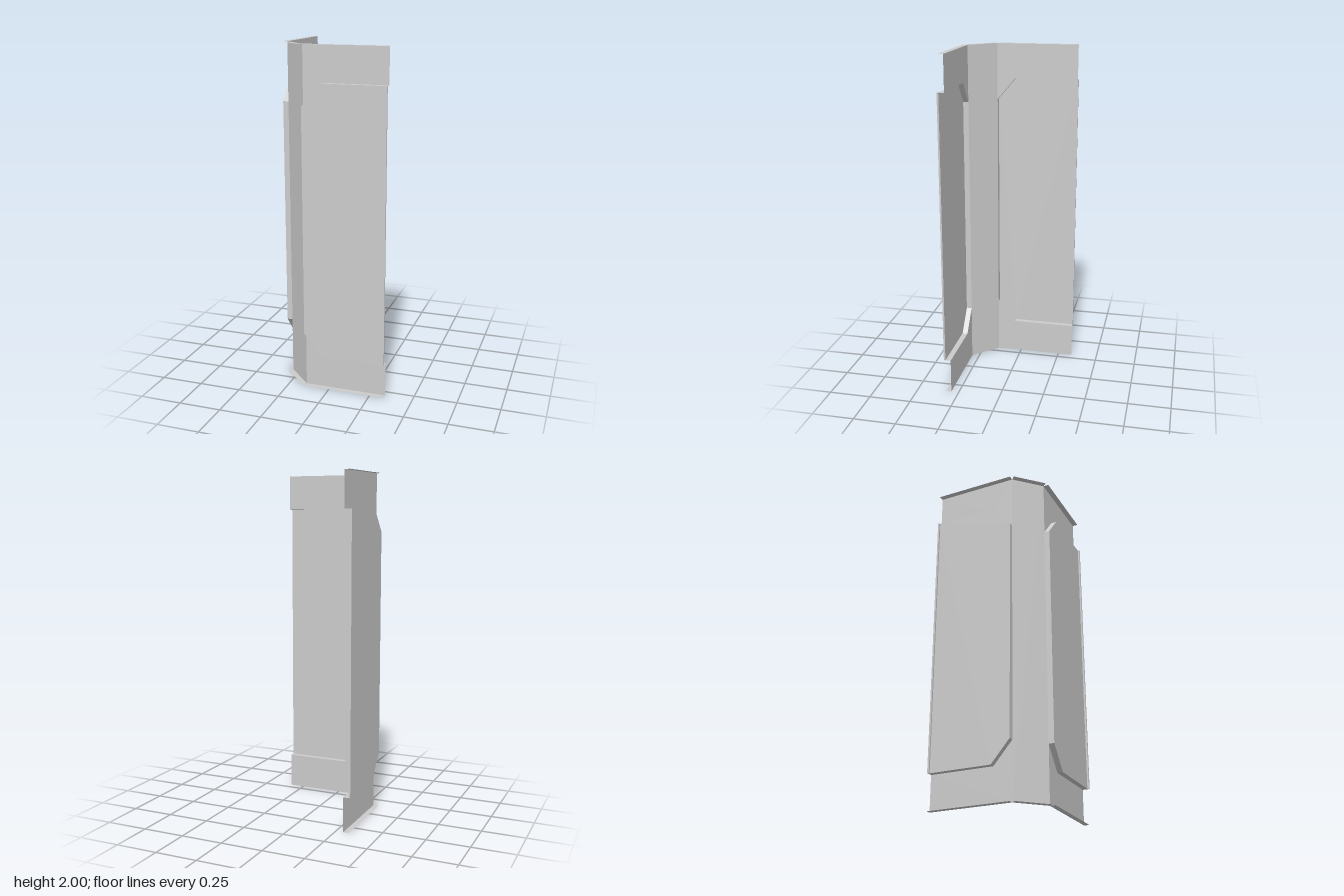
import * as THREE from 'three';

const H = 2, IN = 0.295, DEPTH = 0.032, OUT = IN + DEPTH;
const X0 = -0.15, X1 = 0.337, XC = -0.04;      // wall start, wall end, chamfer corner
const Y_LOW = 0.205, Y_CHAMFER = 0.335;        // panel bottom, chamfer start
const LIP = 0.01;

const material = new THREE.MeshStandardMaterial({
  color: 0xcccccc, flatShading: true, side: THREE.DoubleSide,
});

function add(parent, name, geometry, x = 0, y = 0, z = 0) {
  const mesh = new THREE.Mesh(geometry, material);
  mesh.name = name;
  mesh.position.set(x, y, z);
  parent.add(mesh);
  return mesh;
}

// Flat sheet in the xy plane from an outline
function sheet(points) {
  return new THREE.ShapeGeometry(new THREE.Shape(points.map(([x, y]) => new THREE.Vector2(x, y))));
}

// Sheet folded along an xy path, running in z from z0 to z1
function foldedStrip(points, z0, z1) {
  const pos = [];
  for (let i = 0; i < points.length - 1; i++) {
    const [ax, ay] = points[i], [bx, by] = points[i + 1];
    pos.push(ax, ay, z0, bx, by, z0, bx, by, z1, ax, ay, z0, bx, by, z1, ax, ay, z1);
  }
  const g = new THREE.BufferGeometry();
  g.setAttribute('position', new THREE.Float32BufferAttribute(pos, 3));
  g.computeVertexNormals();
  return g;
}

// Horizontal flanges at the top and bottom, standing out towards +z
function addFlanges(parent, xa, xb, z) {
  for (const [name, y] of [['bottomFlange', 0], ['topFlange', H]]) {
    const g = new THREE.PlaneGeometry(xb - xa, DEPTH).rotateX(y ? -Math.PI / 2 : Math.PI / 2);
    add(parent, name, g, (xa + xb) / 2, y, z + DEPTH / 2);
  }
}

function createWall(name) {
  const wall = new THREE.Group();
  wall.name = name;

  // Flat bands below and above the pushed-out panel
  const lower = [[X0, 0], [X1, 0], [X1, Y_LOW], [XC, Y_LOW], [X0, Y_CHAMFER]];
  const flip = ([x, y]) => [x, H - y];
  add(wall, 'lowerBand', sheet(lower), 0, 0, IN);
  add(wall, 'upperBand', sheet(lower.map(flip).reverse()), 0, 0, IN);

  // Panel with chamfered corners, and the returns that join it to the bands
  const lowEdge = [[X1, Y_LOW], [XC, Y_LOW], [X0, Y_CHAMFER]];
  const edge = [...lowEdge, ...lowEdge.map(flip).reverse()];
  add(wall, 'raisedPanel', sheet([...edge].reverse()), 0, 0, OUT);
  add(wall, 'panelReturns', foldedStrip(edge, IN, OUT));

  // Small square lip along the free edge of the panel
  add(wall, 'edgeLip', new THREE.BoxGeometry(LIP, H - 2 * Y_LOW, LIP),
    X1 - LIP / 2, H / 2, OUT + LIP / 2);

  addFlanges(wall, X0, X1, IN);
  return wall;
}

export function createModel() {
  const model = new THREE.Group();
  model.name = 'cornerPanel';

  // Two matching walls, mirrored across the diagonal corner
  model.add(createWall('frontWall'));
  const side = createWall('sideWall');
  side.scale.x = -1;
  side.rotation.y = -Math.PI / 2;
  model.add(side);

  // Diagonal strip joining the walls
  const corner = new THREE.Group();
  corner.name = 'cornerStrip';
  const width = (X0 + IN) * Math.SQRT2;
  add(corner, 'cornerFace', new THREE.PlaneGeometry(width, H), 0, H / 2, 0);
  addFlanges(corner, -width / 2, width / 2, 0);
  corner.position.set((X0 - IN) / 2, 0, (IN - X0) / 2);
  corner.rotation.y = -Math.PI / 4;
  model.add(corner);

  return model;
}
